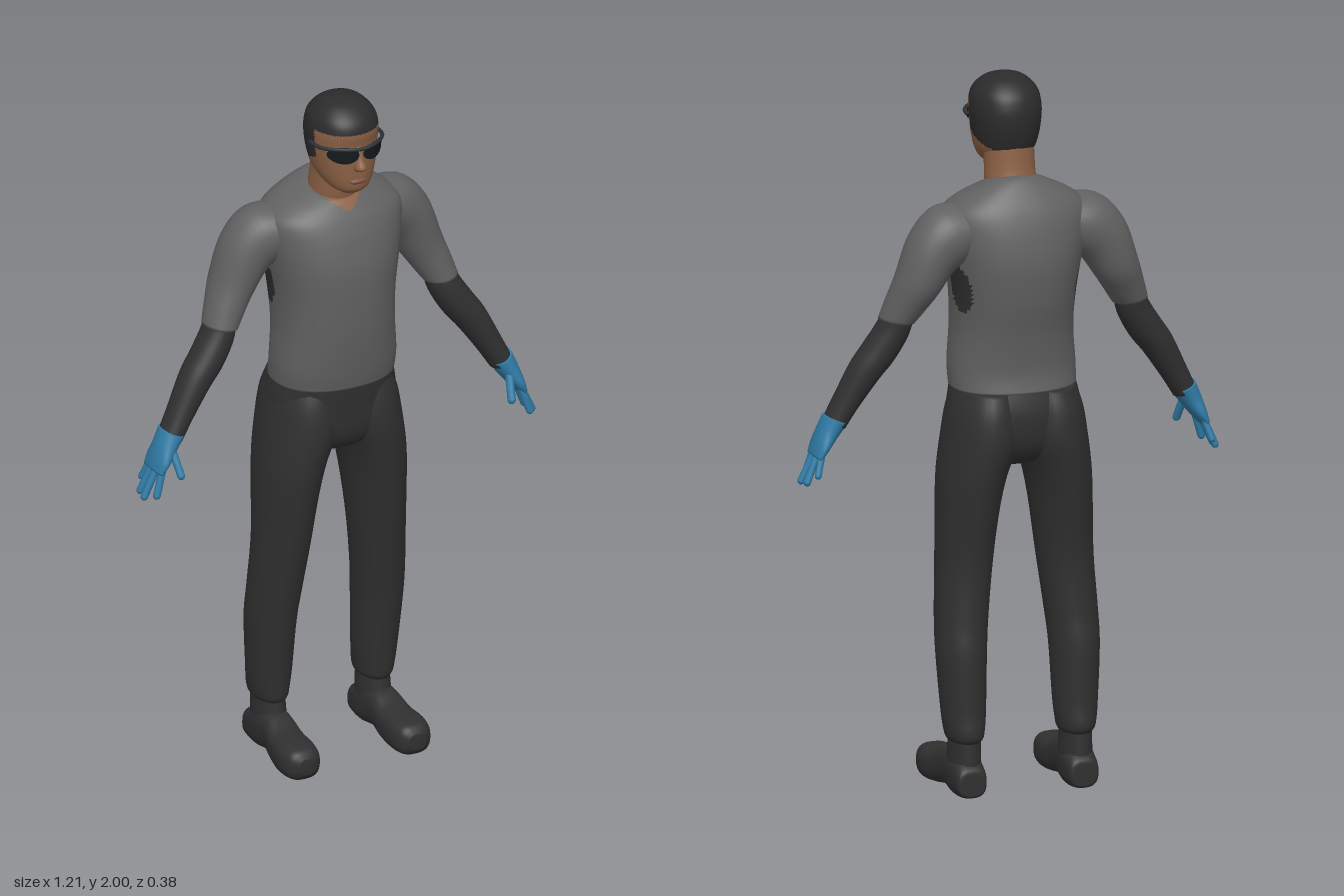
import * as THREE from 'three';

const mat = (name, color, side = THREE.FrontSide) => {
  const m = new THREE.MeshStandardMaterial({ color, side });
  m.name = name;
  return m;
};
const shirt = mat('grey shirt', 0x616161);
const cloth = mat('black cloth', 0x303030);
const hair = mat('dark hair', 0x2b2b2b);
const skin = mat('skin', 0x8a6044);
const lips = mat('lips', 0x7a5040);
const glove = mat('blue glove', 0x307ba6);
const lens = mat('dark lens', 0x14181c, THREE.DoubleSide);
const frame = mat('glasses frame', 0x2c3238);

// Smooth interpolation of every column between cross-section rows
function refine(rows, steps) {
  const out = [];
  for (let i = 0; i < rows.length - 1; i++) {
    const p = [rows[Math.max(i - 1, 0)], rows[i], rows[i + 1], rows[Math.min(i + 2, rows.length - 1)]];
    for (let k = 0; k < steps; k++) {
      const t = k / steps;
      out.push(p[1].map((b, c) => {
        const a = p[0][c], d = p[2][c], e = p[3][c];
        return b + 0.5 * t * (d - a + t * (2 * a - 5 * b + 4 * d - e + t * (3 * (b - d) + e - a)));
      }));
    }
  }
  out.push(rows[rows.length - 1]);
  return out;
}

// Closed skin over rows [x, y, z, halfWidth, halfDepth, tilt in degrees, forward drop];
// pick(x, y, z) chooses a material index for each face
function loft(name, rows, mats, { segs = 32, steps = 5, power = 2, pick = () => 0 } = {}) {
  const list = refine(rows.map(r => [...r, 0, 0].slice(0, 7)), steps);
  const pos = [], last = list.length - 1;
  for (const [x, y, z, a, b, tilt, drop] of list) {
    const t = THREE.MathUtils.degToRad(tilt);
    for (let j = 0; j < segs; j++) {
      const q = j / segs * Math.PI * 2, c = Math.cos(q), s = Math.sin(q);
      const u = a * Math.sign(c) * Math.abs(c) ** (2 / power);
      const v = b * Math.sign(s) * Math.abs(s) ** (2 / power);
      pos.push(x + u * Math.cos(t), y + u * Math.sin(t) - drop * v, z + v);
    }
  }
  const bottom = pos.length / 3;
  pos.push(...list[0].slice(0, 3), ...list[last].slice(0, 3));
  let faces = [];
  for (let i = 0; i <= last; i++) {
    for (let j = 0; j < segs; j++) {
      const k = (j + 1) % segs, a = i * segs + j, b = i * segs + k;
      if (i < last) faces.push([a, a + segs, b], [b, a + segs, b + segs]);
      if (i === 0) faces.push([bottom, a, b]);
      if (i === last) faces.push([bottom + 1, b, a]);
    }
  }
  // Turn the faces outward whichever way the rows run
  const P = i => new THREE.Vector3(...pos.slice(i * 3, i * 3 + 3));
  let volume = 0;
  for (const f of faces) volume += P(f[0]).dot(P(f[1]).cross(P(f[2])));
  if (volume < 0) faces = faces.map(([a, b, c]) => [a, c, b]);
  const buckets = [mats].flat().map(() => []);
  for (const f of faces) {
    const m = P(f[0]).add(P(f[1])).add(P(f[2])).divideScalar(3);
    buckets[pick(m.x, m.y, m.z)].push(...f);
  }
  const geo = new THREE.BufferGeometry();
  geo.setAttribute('position', new THREE.Float32BufferAttribute(pos, 3));
  geo.setIndex(buckets.flat());
  let start = 0;
  buckets.forEach((b, i) => { geo.addGroup(start, b.length, i); start += b.length; });
  geo.computeVertexNormals();
  const mesh = new THREE.Mesh(geo, mats);
  mesh.name = name;
  return mesh;
}

// Row from front and back depth, centred on x unless given
const ring = (y, front, back, half, x = 0, drop = 0) =>
  [x, y, (front + back) / 2, half, (front - back) / 2, 0, drop];

// Straight tapered finger with a round tip
function finger(name, from, to, r) {
  const a = new THREE.Vector3(...from), b = new THREE.Vector3(...to), d = b.clone().sub(a);
  const mesh = new THREE.Mesh(new THREE.CapsuleGeometry(r, d.length() - r, 5, 10), glove);
  mesh.name = name;
  mesh.position.copy(a).add(b).multiplyScalar(0.5);
  mesh.quaternion.setFromUnitVectors(new THREE.Vector3(0, 1, 0), d.normalize());
  return mesh;
}

function torso() {
  return loft('shirt', [
    ring(1.14, 0.13, -0.15, 0.175), ring(1.2, 0.142, -0.142, 0.176), ring(1.3, 0.155, -0.155, 0.168),
    ring(1.4, 0.16, -0.177, 0.171), ring(1.5, 0.158, -0.187, 0.186), ring(1.58, 0.14, -0.178, 0.2),
    ring(1.64, 0.118, -0.158, 0.2, 0, 0.04), ring(1.68, 0.098, -0.13, 0.155, 0, 0.12),
    ring(1.71, 0.082, -0.095, 0.088, 0, 0.25), ring(1.715, 0.07, -0.07, 0.068, 0, 0.3),
  ], [shirt, cloth, skin], {
    segs: 72, steps: 8, power: 2.25,
    pick: (x, y, z) => {
      if (z > 0.03 && Math.abs(x) < (y - 1.66) * 1.4) return 2; // open neckline
      const patch = ((y - 1.43) / 0.07) ** 2 + ((z + 0.06) / 0.05) ** 2;
      return Math.abs(x) > 0.12 && patch < 1 ? 1 : 0; // underarm panel
    },
  });
}

function head() {
  const g = new THREE.Group();
  g.name = 'head';
  g.add(loft('neck', [
    ring(1.64, 0.06, -0.07, 0.075), ring(1.7, 0.075, -0.068, 0.072),
    ring(1.75, 0.08, -0.055, 0.07), ring(1.83, 0.09, -0.045, 0.07),
  ], skin));
  g.add(loft('skullAndHair', [
    ring(1.734, 0.132, 0.07, 0.03), ring(1.752, 0.152, 0.02, 0.056), ring(1.785, 0.157, -0.035, 0.078),
    ring(1.83, 0.158, -0.055, 0.09), ring(1.88, 0.158, -0.063, 0.096), ring(1.92, 0.162, -0.06, 0.096),
    ring(1.955, 0.148, -0.045, 0.086), ring(1.985, 0.11, -0.01, 0.056), ring(2, 0.06, 0.035, 0.012),
  ], [skin, hair], {
    segs: 80, steps: 9, power: 2.15,
    pick: (x, y, z) => (y > 1.922 || (z < 0.075 && y > 1.8 + 0.4 * (z + 0.02)) ? 1 : 0),
  }));
  g.add(loft('nose', [
    [0, 1.885, 0.15, 0.008, 0.012], [0, 1.85, 0.158, 0.012, 0.017],
    [0, 1.826, 0.163, 0.018, 0.025], [0, 1.814, 0.158, 0.014, 0.014],
  ], skin, { segs: 16 }));
  const mouth = new THREE.Mesh(new THREE.SphereGeometry(1, 20, 12), lips);
  mouth.name = 'mouth';
  mouth.scale.set(0.027, 0.009, 0.012);
  mouth.position.set(0, 1.78, 0.153);
  g.add(mouth);
  // Wraparound lenses bent to the face
  for (const s of [-1, 1]) {
    const geo = new THREE.RingGeometry(0.001, 1, 28, 5);
    const p = geo.attributes.position;
    for (let i = 0; i < p.count; i++) {
      const x = s * 0.045 + p.getX(i) * 0.039, y = 1.867 + p.getY(i) * 0.025;
      p.setXYZ(i, x, y, 0.05 + 0.122 * Math.sqrt(1 - (x / 0.108) ** 2));
    }
    geo.computeVertexNormals();
    const m = new THREE.Mesh(geo, lens);
    m.name = s > 0 ? 'leftLens' : 'rightLens';
    g.add(m);
  }
  const half = [[0.1, 1.88, 0.06], [0.093, 1.883, 0.115], [0.05, 1.887, 0.162]];
  const path = [...half, [0, 1.884, 0.174], ...half.map(([x, y, z]) => [-x, y, z]).reverse()];
  const curve = new THREE.CatmullRomCurve3(path.map(p => new THREE.Vector3(...p)));
  const bar = new THREE.Mesh(new THREE.TubeGeometry(curve, 40, 0.0055, 8), frame);
  bar.name = 'glassesFrame';
  g.add(bar);
  return g;
}

function arm(s) {
  const g = new THREE.Group();
  g.name = s > 0 ? 'leftArm' : 'rightArm';
  const flip = rows => rows.map(([x, y, z, a, b, t]) => [x * s, y, z, a, b, t * s]);
  const at = (x, y, z) => [x * s, y, z];
  g.add(loft('sleeve', flip([
    [0.12, 1.6, -0.03, 0.065, 0.09, 75], [0.19, 1.583, -0.042, 0.088, 0.09, 60],
    [0.245, 1.535, -0.047, 0.079, 0.083, 40], [0.287, 1.45, -0.045, 0.064, 0.075, 27],
    [0.316, 1.39, -0.03, 0.055, 0.064, 20], [0.336, 1.345, -0.017, 0.049, 0.057, 8],
  ]), shirt));
  g.add(loft('forearm', flip([
    [0.33, 1.37, -0.022, 0.042, 0.05, 12], [0.346, 1.32, -0.014, 0.046, 0.054, 24],
    [0.383, 1.258, -0.006, 0.048, 0.054, 30], [0.422, 1.205, 0, 0.045, 0.051, 31],
    [0.472, 1.12, 0.01, 0.037, 0.044, 27], [0.505, 1.06, 0.016, 0.033, 0.042, 22],
  ]), cloth));
  g.add(loft('palm', flip([
    [0.5, 1.075, 0.015, 0.036, 0.044, 22], [0.522, 1.038, 0.019, 0.03, 0.046, 28],
    [0.543, 1, 0.02, 0.022, 0.054, 28], [0.558, 0.972, 0.019, 0.014, 0.05, 28],
  ]), glove));
  g.add(finger('thumb', at(0.515, 1.03, 0.05), at(0.505, 0.962, 0.085), 0.0115));
  g.add(finger('indexFinger', at(0.548, 0.985, 0.055), at(0.572, 0.908, 0.065), 0.0105));
  g.add(finger('middleFinger', at(0.555, 0.98, 0.032), at(0.595, 0.897, 0.033), 0.0105));
  g.add(finger('ringFinger', at(0.555, 0.98, 0.008), at(0.589, 0.9, -0.003), 0.0105));
  g.add(finger('littleFinger', at(0.548, 0.99, -0.015), at(0.568, 0.925, -0.036), 0.0095));
  return g;
}

function leg(s) {
  const g = new THREE.Group();
  g.name = s > 0 ? 'leftLeg' : 'rightLeg';
  // y, outer x, inner x, front z, back z
  g.add(loft('trouserLeg', [
    [1.14, 0.165, 0.005, 0.1, -0.15], [1.08, 0.186, -0.003, 0.118, -0.17], [1, 0.2, -0.005, 0.126, -0.176],
    [0.9, 0.213, 0.03, 0.116, -0.162], [0.8, 0.218, 0.05, 0.1, -0.145], [0.65, 0.222, 0.068, 0.074, -0.124],
    [0.5, 0.23, 0.085, 0.047, -0.128], [0.4, 0.231, 0.094, 0.03, -0.14], [0.25, 0.222, 0.1, 0.008, -0.142],
    [0.19, 0.215, 0.106, 0.002, -0.148], [0.165, 0.207, 0.112, -0.004, -0.142], [0.15, 0.19, 0.13, -0.02, -0.12],
  ].map(([y, o, i, f, b]) => ring(y, f, b, (o - i) / 2, s * (o + i) / 2)), cloth));
  g.add(loft('shoeShaft', [
    ring(0.19, -0.015, -0.135, 0.042, s * 0.16), ring(0.12, -0.005, -0.138, 0.044, s * 0.16),
    ring(0.05, 0.01, -0.14, 0.046, s * 0.16),
  ], cloth));
  // z, bottom y, top y, half width, x
  const foot = loft('shoe', [
    [-0.15, 0.025, 0.07, 0.025, 0.161], [-0.142, 0.01, 0.095, 0.042, 0.161], [-0.08, 0.004, 0.125, 0.048, 0.161],
    [-0.01, 0.016, 0.128, 0.047, 0.163], [0.05, 0.006, 0.104, 0.054, 0.166], [0.11, 0, 0.1, 0.058, 0.169],
    [0.16, 0.004, 0.092, 0.048, 0.169], [0.18, 0.025, 0.07, 0.024, 0.168],
  ].map(([z, lo, hi, w, x]) => [s * x, z, -(lo + hi) / 2, w, (hi - lo) / 2]), cloth, { power: 2.7 });
  foot.geometry.rotateX(Math.PI / 2);
  g.add(foot);
  return g;
}

export function createModel() {
  const model = new THREE.Group();
  model.name = 'standingMan';
  model.add(torso(), head());
  model.add(loft('trouserSeat', [
    ring(1.15, 0.126, -0.146, 0.172), ring(1.08, 0.122, -0.163, 0.186),
    ring(1, 0.115, -0.155, 0.19), ring(0.95, 0.09, -0.125, 0.14), ring(0.925, 0.05, -0.08, 0.06),
  ], cloth, { power: 2.25 }));
  for (const s of [-1, 1]) model.add(arm(s), leg(s));
  return model;
}
